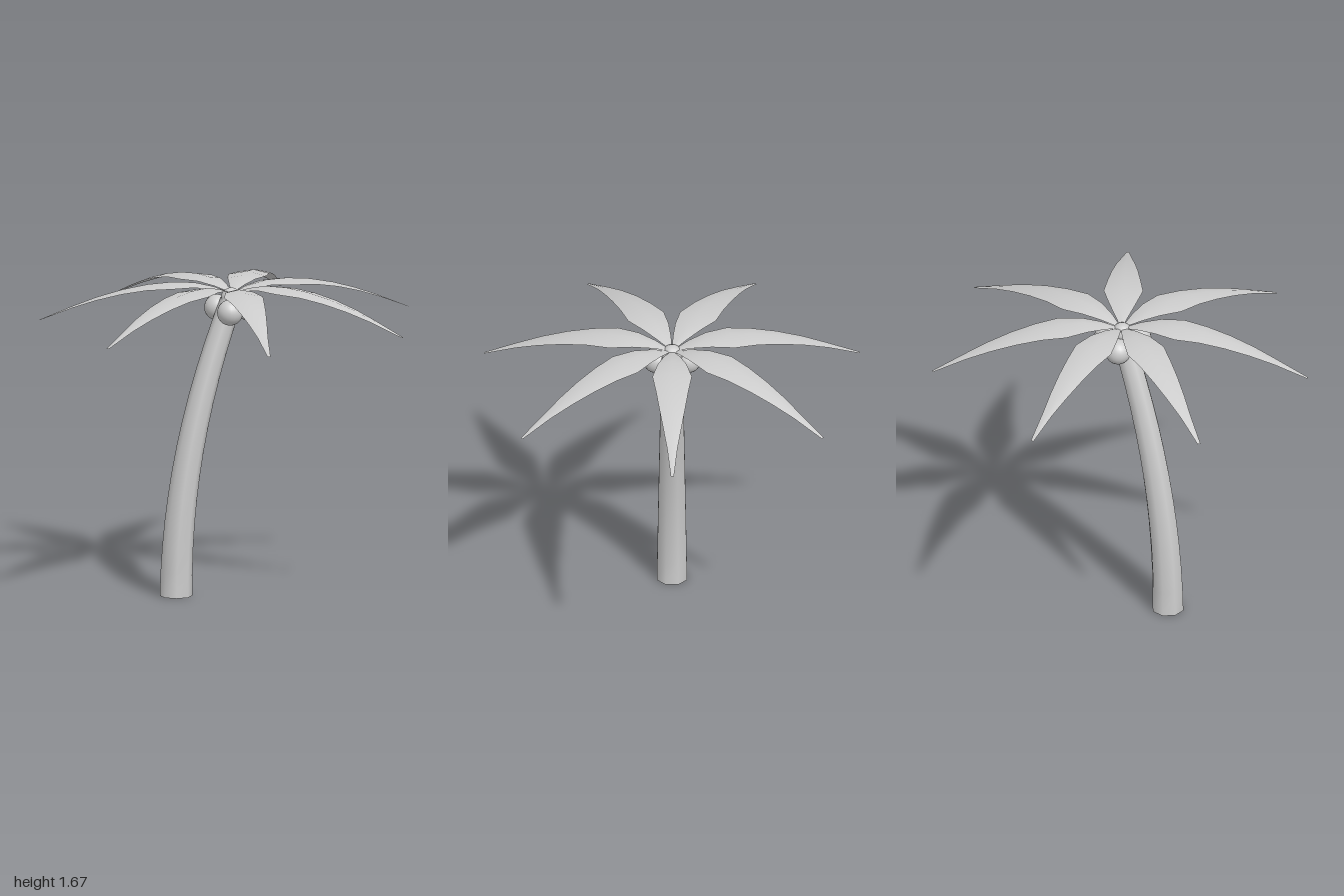
import * as THREE from 'three';
import { mergeVertices } from 'three/addons/utils/BufferGeometryUtils.js';

const CROWN_X = -0.055;

// Leaning trunk: an open eight-sided tube, bent and tapered along a parabola
function trunkGeometry() {
  const height = 1.59;
  let geo = new THREE.CylinderGeometry(1, 1, 1, 8, 12, true);
  geo.rotateY(Math.PI / 8);
  geo.deleteAttribute('uv');
  geo.deleteAttribute('normal');
  geo = mergeVertices(geo, 1e-4);
  const pos = geo.attributes.position;
  for (let i = 0; i < pos.count; i++) {
    const t = pos.getY(i) + 0.5;
    const y = t * height;
    const lean = Math.atan(0.26 * y);
    const r = THREE.MathUtils.lerp(0.087, 0.06, t);
    const across = pos.getX(i) * r;
    pos.setXYZ(
      i,
      -0.38 + 0.13 * y * y + across * Math.cos(lean),
      y - across * Math.sin(lean),
      pos.getZ(i) * r
    );
  }
  geo.computeVertexNormals();
  return geo;
}

// Drooping leaf along +x, with a soft ridge down the middle
function leafGeometry() {
  // distance from crown, height, half width
  const sections = [
    [0.02, 1.622, 0.01],
    [0.1, 1.65, 0.042],
    [0.2, 1.671, 0.076],
    [0.32, 1.673, 0.105],
    [0.45, 1.659, 0.087],
    [0.585, 1.63, 0.069],
    [0.72, 1.589, 0.049],
    [0.85, 1.539, 0.028],
    [1.025, 1.464, 0.008],
  ];
  const points = [];
  const index = [];
  sections.forEach(([r, y, w], i) => {
    for (let j = -1; j <= 1; j++) points.push(r, y - Math.abs(j) * w * 0.2, j * w);
    if (i === sections.length - 1) return;
    for (let j = 0; j < 2; j++) {
      const a = i * 3 + j;
      index.push(a, a + 1, a + 3, a + 1, a + 4, a + 3);
    }
  });
  const geo = new THREE.BufferGeometry();
  geo.setAttribute('position', new THREE.Float32BufferAttribute(points, 3));
  geo.setIndex(index);
  geo.computeVertexNormals();
  return geo;
}

export function createModel() {
  const model = new THREE.Group();
  model.name = 'palmTree';
  const grey = new THREE.MeshStandardMaterial({ color: 0xcccccc, side: THREE.DoubleSide });
  grey.name = 'light grey';

  const add = (name, geo, x = 0, y = 0, z = 0) => {
    const mesh = new THREE.Mesh(geo, grey);
    mesh.name = name;
    mesh.position.set(x, y, z);
    model.add(mesh);
    return mesh;
  };

  add('trunk', trunkGeometry());

  // Rounded end of the trunk where the leaves meet
  add('crown', new THREE.SphereGeometry(0.056, 12, 10), CROWN_X - 0.005, 1.588, 0);

  // Seven leaves evenly spread around the crown
  const leaf = leafGeometry();
  for (let i = 0; i < 7; i++) {
    add('leaf' + (i + 1), leaf, CROWN_X).rotation.y = (i / 7) * Math.PI * 2;
  }

  // Three coconuts hanging under the leaves
  const coconut = new THREE.SphereGeometry(0.069, 20, 14);
  for (let i = 0; i < 3; i++) {
    const a = (i / 3) * Math.PI * 2;
    add('coconut' + (i + 1), coconut, CROWN_X + 0.098 * Math.cos(a), 1.527, 0.098 * Math.sin(a));
  }
  return model;
}
